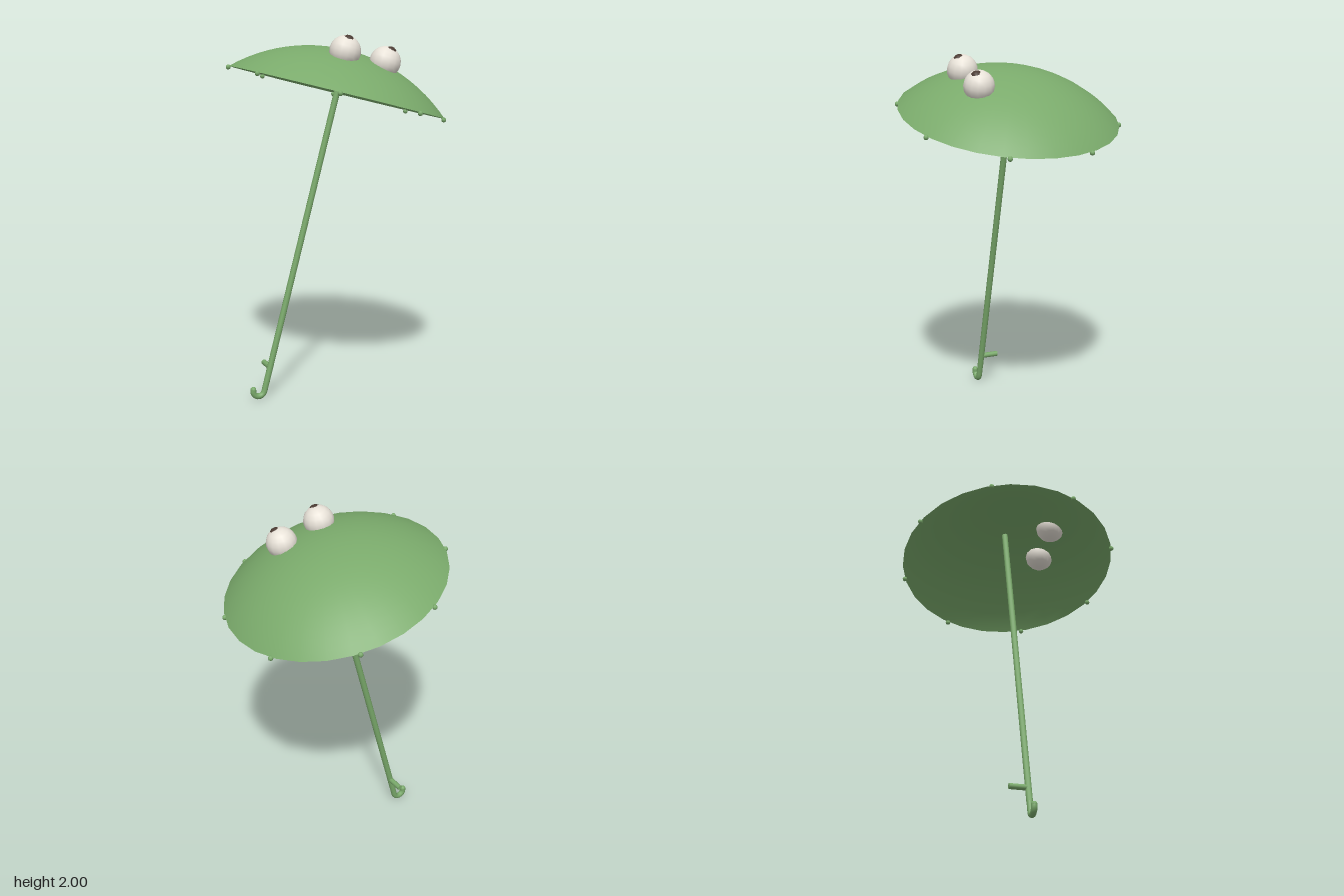
import * as THREE from 'three';

export function createModel() {
  const model = new THREE.Group();
  model.name = 'umbrella';

  const green = new THREE.MeshStandardMaterial({ color: 0x7aaa6b });
  const canopyGreen = new THREE.MeshStandardMaterial({ color: 0x7aaa6b, side: THREE.DoubleSide });
  const white = new THREE.MeshStandardMaterial({ color: 0xe8e2d8 });
  const dark = new THREE.MeshStandardMaterial({ color: 0x4a3a32 });

  // Everything leans together; the origin of this group is the rim centre
  const body = new THREE.Group();
  body.name = 'leaningBody';
  body.position.y = 1.68;
  body.rotation.z = -THREE.MathUtils.degToRad(15);
  model.add(body);

  const add = (name, geometry, material, x = 0, y = 0, z = 0) => {
    const mesh = new THREE.Mesh(geometry, material);
    mesh.name = name;
    mesh.position.set(x, y, z);
    body.add(mesh);
    return mesh;
  };

  // Canopy: a shallow cap of a sphere, open below
  const rim = 0.6, drop = 0.65;
  const radius = Math.hypot(rim, drop);
  add('canopy',
    new THREE.SphereGeometry(radius, 28, 12, 0, Math.PI * 2, 0, Math.atan2(rim, drop)),
    canopyGreen, 0, -drop, 0);

  // Beads at the ends of the eight ribs
  const beadGeometry = new THREE.SphereGeometry(0.014, 8, 6);
  for (let i = 0; i < 8; i++) {
    const a = (i + 0.5) * Math.PI / 4;
    add('rimBead', beadGeometry, green, rim * Math.cos(a), -0.006, rim * Math.sin(a));
  }

  // Pole, from the inside of the canopy to the handle
  const top = 0.225, joint = -1.635;
  add('pole', new THREE.CylinderGeometry(0.017, 0.017, top - joint, 12), green, 0, (top + joint) / 2, 0);

  // Hooked handle: a short straight run, then a half circle
  const bend = 0.033, hookY = -1.692;
  const points = [new THREE.Vector3(0, joint, 0), new THREE.Vector3(0, (joint + hookY) / 2, 0)];
  for (let i = 0; i <= 6; i++) {
    const a = -Math.PI * i / 6;
    points.push(new THREE.Vector3(bend * (Math.cos(a) - 1), hookY + bend * Math.sin(a), 0));
  }
  add('handleHook', new THREE.TubeGeometry(new THREE.CatmullRomCurve3(points), 24, 0.0165, 10), green);
  add('handleTip', new THREE.SphereGeometry(0.0165, 10, 8), green, -2 * bend, hookY, 0);

  // Peg sticking out behind the pole
  const peg = add('peg', new THREE.CylinderGeometry(0.015, 0.015, 0.1, 10), green, 0, -1.553, -0.05);
  peg.rotation.x = Math.PI / 2;

  // Eyes, sunk into the canopy and looking up and slightly forward
  const eyeGeometry = new THREE.SphereGeometry(0.083, 14, 10);
  const pupilGeometry = new THREE.SphereGeometry(0.035, 10, 8);
  for (const side of [-1, 1]) {
    const label = side > 0 ? 'left' : 'right';
    const x = side * 0.119, y = 0.214, z = 0.243;
    add(label + 'Eye', eyeGeometry, white, x, y, z);
    add(label + 'Pupil', pupilGeometry, dark, x + side * 0.006, y + 0.05, z + 0.02);
  }

  return model;
}
